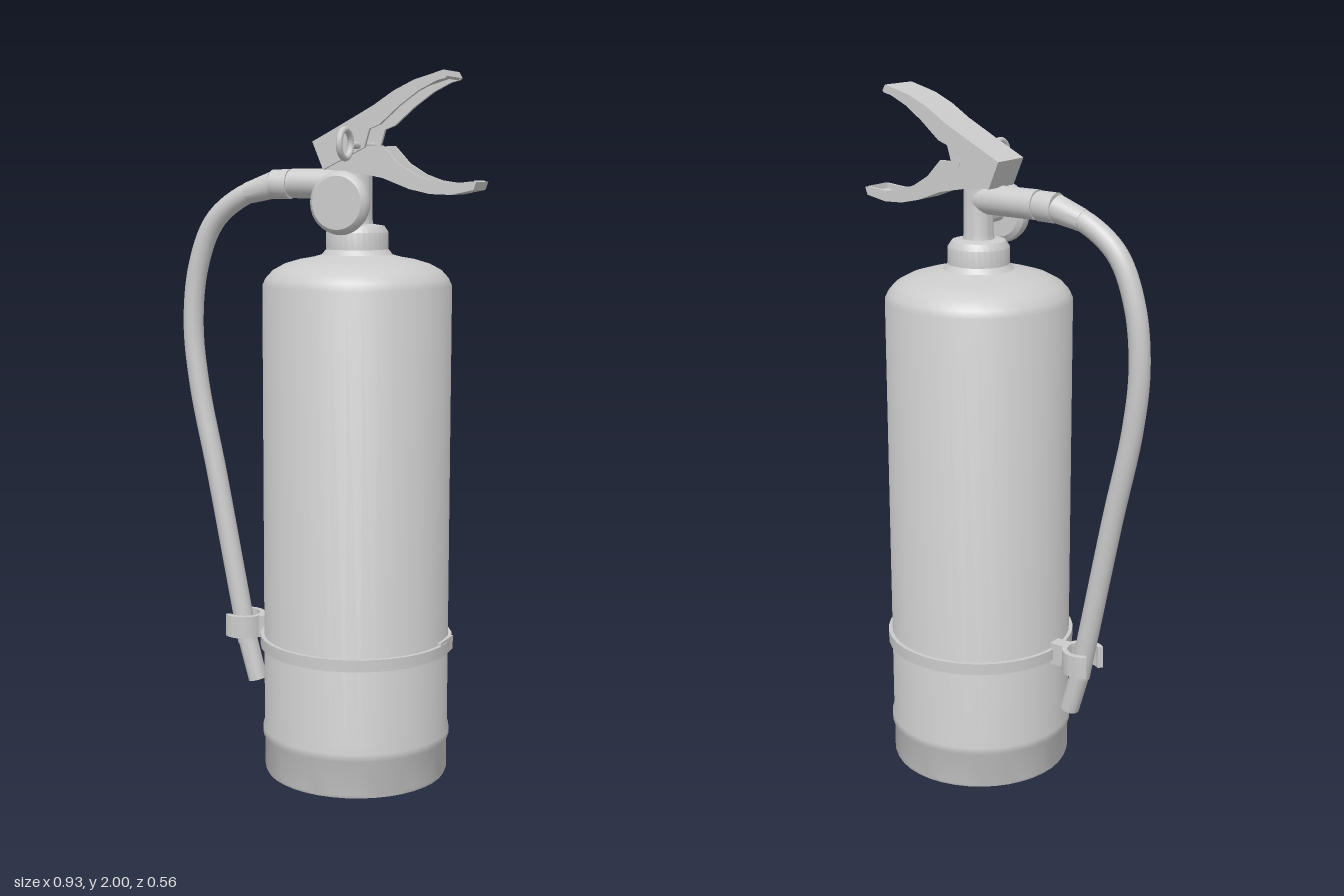
import * as THREE from 'three';
import { toCreasedNormals } from 'three/addons/utils/BufferGeometryUtils.js';

const mat = new THREE.MeshStandardMaterial({ color: 0xcccccc, side: THREE.DoubleSide });
const V2 = (p) => new THREE.Vector2(p[0], p[1]);
const AXIS = 0.095; // x of the tank's axis

function mesh(name, geometry, parent) {
  const m = new THREE.Mesh(geometry, mat);
  m.name = name;
  parent.add(m);
  return m;
}

const lathe = (pts, seg = 32) => toCreasedNormals(new THREE.LatheGeometry(pts.map(V2), seg), 0.6);

// Tapered round bar between two points
function rod(name, a, b, ra, rb, parent) {
  const A = new THREE.Vector3(...a), B = new THREE.Vector3(...b);
  const d = B.clone().sub(A);
  const m = mesh(name, toCreasedNormals(new THREE.CylinderGeometry(rb, ra, d.length(), 20), 0.6), parent);
  m.position.copy(A).add(B).multiplyScalar(0.5);
  m.quaternion.setFromUnitVectors(new THREE.Vector3(0, 1, 0), d.normalize());
  return m;
}

// Flat outline in x/y, extruded from z0 to z1
function slab(name, pts, z0, z1, parent) {
  const g = new THREE.ExtrudeGeometry(new THREE.Shape(pts.map(V2)), { depth: z1 - z0, bevelEnabled: false });
  mesh(name, toCreasedNormals(g, 0.5), parent).position.z = z0;
}

// Sheet-metal channel: two cheeks joined by a web along one edge of the outline
function channel(name, web, free, z0, z1, t, inward, parent) {
  const group = new THREE.Group();
  group.name = name;
  parent.add(group);
  const outline = [...web, ...[...free].reverse()];
  slab('cheekBack', outline, z0, z0 + t, group);
  slab('cheekFront', outline, z1 - t, z1, group);
  const inner = web.map((p, i) => {
    const a = web[Math.max(i - 1, 0)], b = web[Math.min(i + 1, web.length - 1)];
    const d = V2(b).sub(V2(a)).normalize();
    return [p[0] - d.y * t * inward, p[1] + d.x * t * inward];
  });
  slab('web', [...web, ...inner.reverse()], z0 + t, z1 - t, group);
}

export function createModel() {
  const root = new THREE.Group();
  root.name = 'fireExtinguisher';

  // Tank with a rolled seam near the foot and a domed shoulder
  mesh('tank', lathe([
    [0, 0], [0.262, 0], [0.266, 0.01], [0.266, 0.1], [0.272, 0.11], [0.272, 0.13], [0.267, 0.145],
    [0.267, 1.415], [0.258, 1.434], [0.238, 1.456], [0.205, 1.474], [0.165, 1.486], [0.125, 1.493],
    [0.1, 1.5], [0.088, 1.515], [0, 1.515],
  ], 40), root).position.x = AXIS;

  // Neck collar and valve stem
  mesh('neck', lathe([
    [0, 1.5], [0.088, 1.5], [0.088, 1.562], [0.076, 1.58], [0.045, 1.585], [0.042, 1.6],
    [0.042, 1.775], [0, 1.775],
  ]), root).position.x = AXIS;

  // Strap with its small buckle
  mesh('strap', lathe([[0.264, 0.37], [0.278, 0.37], [0.278, 0.404], [0.264, 0.404], [0.264, 0.37]], 40),
    root).position.x = AXIS;
  mesh('buckle', new THREE.BoxGeometry(0.012, 0.04, 0.095), root).position.set(0.364, 0.392, -0.02);

  // Pressure gauge facing the front
  rod('gaugeStem', [AXIS, 1.645, 0], [AXIS, 1.645, 0.1], 0.024, 0.024, root);
  const gauge = mesh('gauge', lathe([
    [0, 0.09], [0.07, 0.09], [0.084, 0.1], [0.088, 0.115], [0.084, 0.13], [0.073, 0.14], [0, 0.14],
  ]), root);
  gauge.rotation.x = Math.PI / 2;
  gauge.position.set(AXIS, 1.645, 0);

  // Upper handle, open underneath
  channel('upperHandle',
    [[0.015, 1.735], [-0.018, 1.812], [0.07, 1.857], [0.167, 1.908], [0.225, 1.945], [0.285, 1.973], [0.37, 1.997], [0.38, 1.98]],
    [[0.05, 1.752], [0.14, 1.795], [0.155, 1.845], [0.185, 1.856], [0.245, 1.907], [0.3, 1.945], [0.35, 1.969], [0.375, 1.975]],
    -0.063, 0.056, 0.011, -1, root);

  // Squeeze lever, open on top
  channel('lowerLever',
    [[0.02, 1.735], [0.11, 1.727], [0.19, 1.712], [0.27, 1.682], [0.33, 1.669], [0.39, 1.667], [0.455, 1.68], [0.463, 1.702]],
    [[0.035, 1.752], [0.13, 1.798], [0.19, 1.8], [0.235, 1.752], [0.285, 1.722], [0.33, 1.706], [0.39, 1.697], [0.45, 1.703]],
    -0.05, 0.046, 0.01, 1, root);

  // Safety pin and pull ring
  rod('safetyPin', [0.12, 1.8, -0.065], [0.12, 1.8, 0.1], 0.01, 0.01, root);
  const ring = mesh('pullRing', new THREE.TorusGeometry(0.038, 0.009, 10, 28), root);
  ring.rotation.y = Math.PI / 2;
  ring.position.set(0.12, 1.803, 0.138);

  // Outlet and hose ferrules
  rod('outlet', [AXIS, 1.697, 0], [-0.105, 1.697, 0], 0.042, 0.042, root);
  rod('outletGroove', [-0.1, 1.696, 0], [-0.12, 1.696, 0], 0.037, 0.037, root);
  rod('ferrule', [-0.113, 1.695, 0], [-0.167, 1.694, 0], 0.042, 0.042, root);
  rod('hoseCuff', [-0.165, 1.693, 0], [-0.25, 1.669, 0], 0.039, 0.031, root);

  // Hose hanging down the side, ending in a nozzle
  const path = new THREE.CatmullRomCurve3([
    [-0.165, 1.693], [-0.267, 1.661], [-0.362, 1.587], [-0.418, 1.455], [-0.437, 1.286],
    [-0.42, 1.11], [-0.362, 0.836], [-0.299, 0.519], [-0.262, 0.333],
  ].map(([x, y]) => new THREE.Vector3(x, y, 0)));
  mesh('hose', new THREE.TubeGeometry(path, 70, 0.03, 16), root);
  rod('nozzle', [-0.264, 0.345, 0], [-0.229, 0.22, 0], 0.029, 0.028, root);

  // Clip: an upright C, open away from the tank, on a short arm
  const a = 2.3;
  const c = new THREE.Shape();
  c.absarc(0, 0, 0.061, -a, a, false);
  c.absarc(0, 0, 0.045, a, -a, true);
  const clip = mesh('hoseClip', toCreasedNormals(
    new THREE.ExtrudeGeometry(c, { depth: 0.066, bevelEnabled: false, curveSegments: 24 }), 0.5), root);
  clip.rotation.x = -Math.PI / 2;
  clip.position.set(-0.272, 0.356, 0);
  mesh('clipArm', new THREE.BoxGeometry(0.045, 0.066, 0.04), root).position.set(-0.194, 0.389, 0);

  return root;
}
